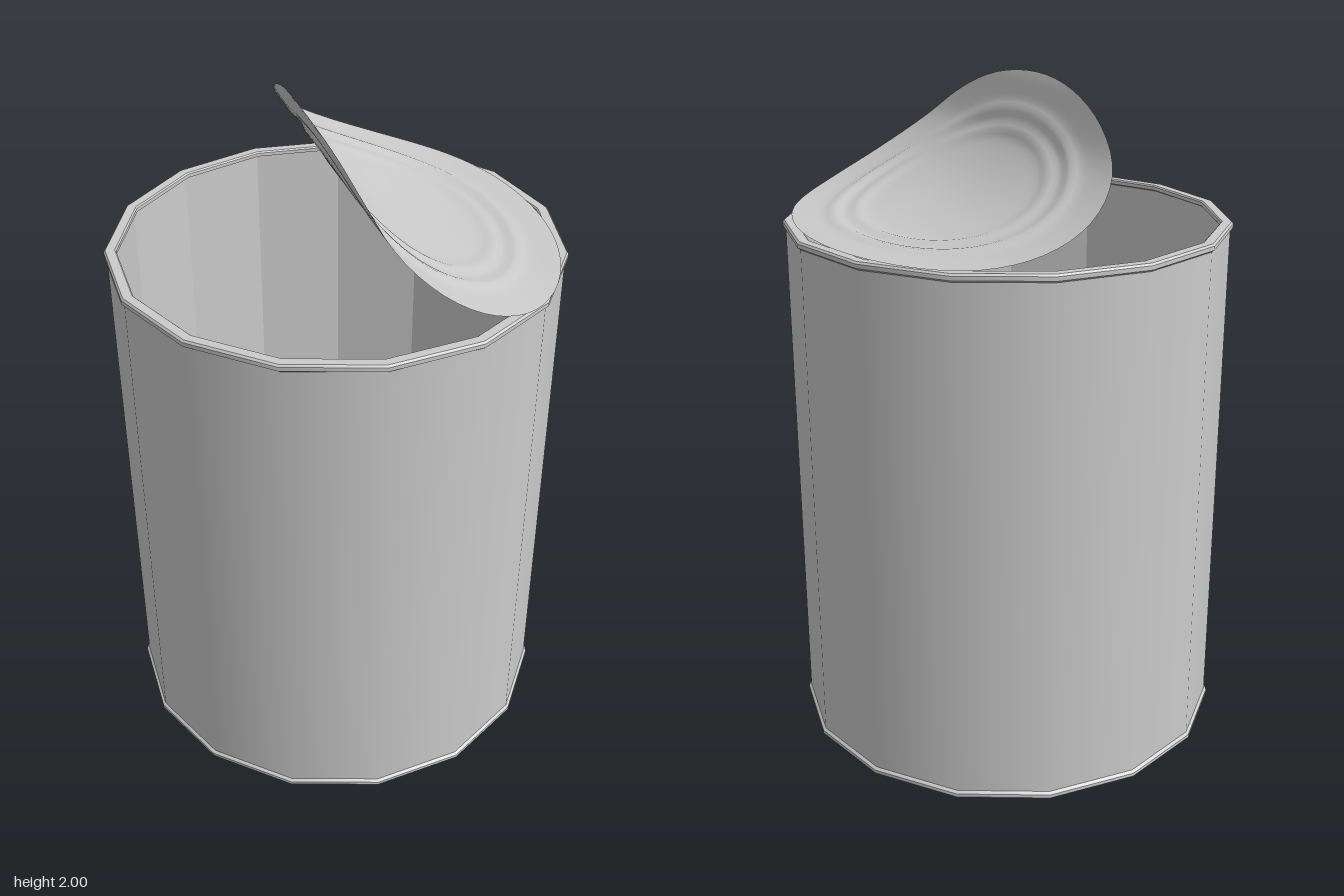
import * as THREE from 'three';
import { toCreasedNormals } from 'three/addons/utils/BufferGeometryUtils.js';

const SIDES = 15;

export function createModel() {
  const group = new THREE.Group();
  const grey = new THREE.MeshStandardMaterial({ color: 0xcccccc });
  const greyFlat = new THREE.MeshStandardMaterial({ color: 0xcccccc, flatShading: true });
  const greyThin = new THREE.MeshStandardMaterial({ color: 0xcccccc, side: THREE.DoubleSide });

  // Revolved part with one corner on +x
  const turned = (name, profile, material, crease) => {
    const points = profile.map(([r, y]) => new THREE.Vector2(r, y));
    let geometry = new THREE.LatheGeometry(points, SIDES, Math.PI / 2);
    if (crease) geometry = toCreasedNormals(geometry, crease);
    const mesh = new THREE.Mesh(geometry, material);
    mesh.name = name;
    mesh.position.x = -0.007;
    group.add(mesh);
  };

  turned('canWall', [[0.652, 0.018], [0.652, 1.572]], grey);
  turned('innerWall', [[0.635, 1.58], [0.635, 0.02]], greyFlat);
  turned('innerFloor', [[0.635, 0.02], [0, 0.02]], greyFlat);
  turned('bottomPlate', [[0, 0.008], [0.64, 0.008]], greyFlat);
  turned('bottomRim',
    [[0.64, 0.008], [0.643, 0], [0.656, 0], [0.66, 0.005], [0.66, 0.015], [0.652, 0.022]], grey, 0.6);
  turned('topRim',
    [[0.652, 1.566], [0.66, 1.572], [0.66, 1.584], [0.655, 1.59], [0.628, 1.59], [0.624, 1.586],
      [0.624, 1.575], [0.635, 1.57]], grey, 0.6);

  // Lid: an oval sheet curled along a side profile (u across the can, y up)
  const curl = new THREE.CatmullRomCurve3([
    [-0.1, 2.0], [-0.088, 1.975], [-0.06, 1.9], [-0.02, 1.82], [0.06, 1.742], [0.17, 1.675],
    [0.3, 1.626], [0.42, 1.602], [0.61, 1.592],
  ].map(([u, y]) => new THREE.Vector3(u, y, 0)));

  // Pressed rings, as a small offset from the sheet
  const bump = (r, at, width) => Math.exp(-(((r - at) / width) ** 2));
  const relief = (r) => 0.008 * bump(r, 0.74, 0.04) + 0.006 * bump(r, 0.6, 0.04) - 0.008 * bump(r, 0, 0.4);

  const RINGS = 32, STEPS = 72;
  const halfWidth = 0.625, cos = Math.cos(0.4), sin = Math.sin(0.4);
  const position = [], index = [];
  for (let i = 0; i <= RINGS; i++) {
    const r = i / RINGS;
    for (let j = 0; j < STEPS; j++) {
      const a = (j / STEPS) * Math.PI * 2;
      const t = THREE.MathUtils.clamp(0.5 + 0.5 * r * Math.cos(a), 0, 1);
      const p = curl.getPointAt(t), d = curl.getTangentAt(t);
      const h = relief(r);
      const u = p.x - d.y * h, y = p.y + d.x * h, v = halfWidth * r * Math.sin(a);
      position.push(u * cos - v * sin, y, u * sin + v * cos);
      if (i < RINGS) {
        const k = (j + 1) % STEPS, b = i * STEPS, c = b + STEPS;
        if (i > 0) index.push(b + j, b + k, c + j);
        index.push(b + k, c + k, c + j);
      }
    }
  }
  const lidGeometry = new THREE.BufferGeometry();
  lidGeometry.setAttribute('position', new THREE.Float32BufferAttribute(position, 3));
  lidGeometry.setIndex(index);
  lidGeometry.computeVertexNormals();
  const lid = new THREE.Mesh(lidGeometry, greyThin);
  lid.name = 'curledLid';
  group.add(lid);

  return group;
}
